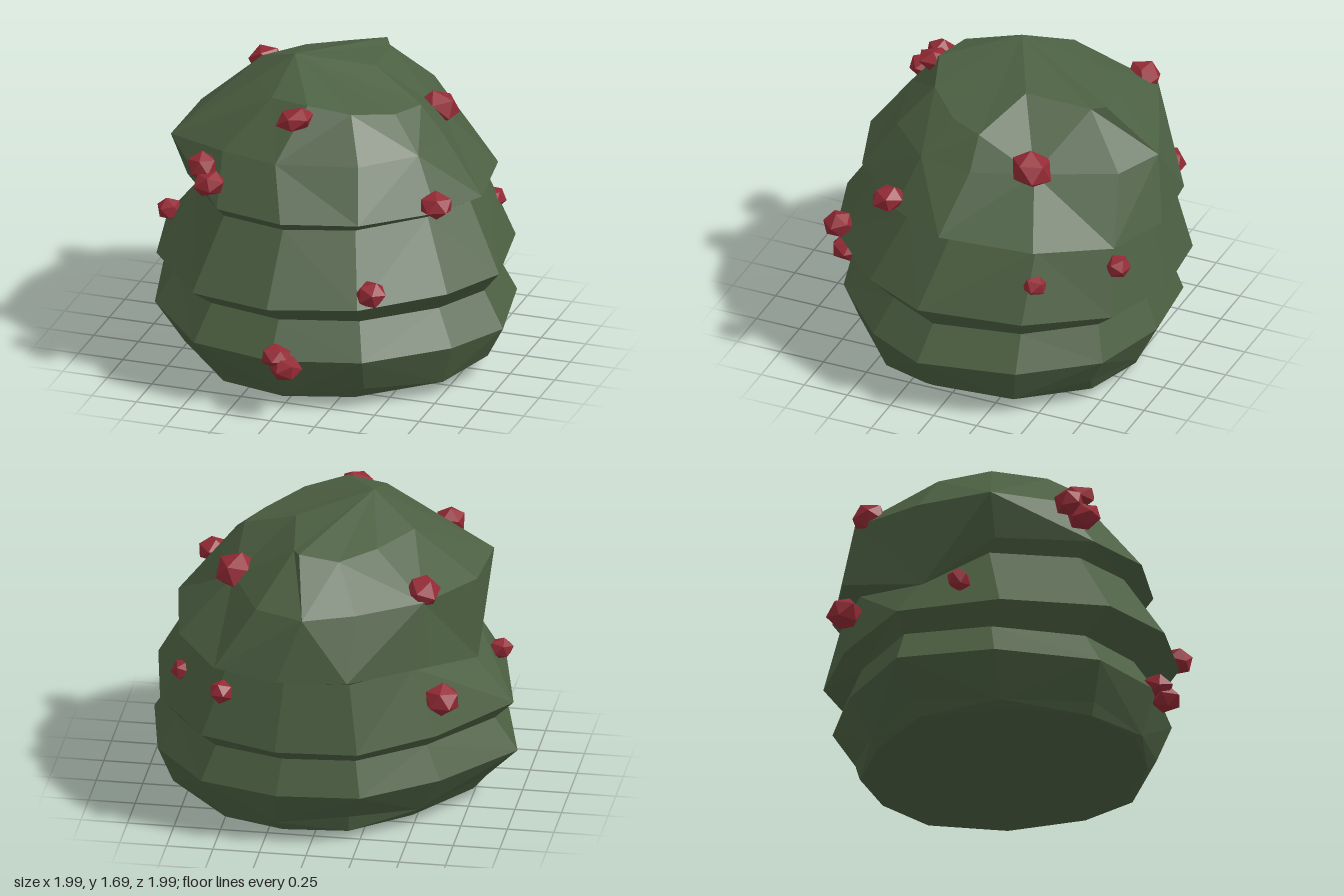
import * as THREE from 'three';

// Plan outline shared by all cross-sections: angle from the front (+z) towards +x, and radius
const ANGLES = [-2, 28, 61, 84, 117, 145, 170, 196, 226, 261, 294, 330];
const RADII = [0.96, 0.93, 0.94, 1, 1, 1.04, 1, 0.98, 0.91, 1.01, 0.95, 0.99];
const N = ANGLES.length;

// Cross-sections from base to crown: height, slope along x, slope along z, width, depth, offset x, offset z
const RINGS = [
  [0.05, 0, 0, 0.78, 0.81, 0.02, 0],
  [0.1, 0, -0.02, 0.87, 0.84, 0.04, 0],
  [0.3, 0, 0, 1, 0.94, 0, 0],
  [0.49, 0, 0, 0.88, 0.84, 0, -0.03],
  [0.6, 0.015, 0.02, 0.98, 1, 0, 0],
  [0.97, 0.01, 0.02, 0.78, 0.83, 0, -0.08],
  [1.02, 0, 0.045, 0.84, 0.91, 0.02, -0.06],
  [1.31, 0, 0, 0.7, 0.77, -0.08, -0.12],
  [1.52, -0.1, 0, 0.47, 0.52, 0.02, -0.09],
];

// Shifts of single corners (ring, rib, dx, dy, dz)
const SHIFTS = [
  // dent in the lip on the right side
  [5, 9, 0, -0.15, 0.08],
  [6, 8, -0.08, 0, -0.02],
  [6, 9, 0.04, -0.2, 0.1],
  [7, 8, -0.03, 0.03, 0],
  [7, 9, 0, -0.03, 0.11],
  [7, 10, -0.11, -0.05, 0.13],
  // straight slopes of the dome
  [7, 1, 0.1, 0, 0],
  [7, 2, 0.08, 0, 0.03],
  [7, 4, -0.05, 0, 0.11],
  [7, 5, -0.03, 0, 0.01],
  [7, 7, 0.04, 0, 0.08],
  // uneven crown
  [8, 0, 0, 0.06, 0],
  [8, 1, 0, 0.03, 0],
  [8, 4, -0.25, 0.12, 0.15],
  [8, 5, -0.16, 0.07, 0],
  [8, 6, 0, 0.06, 0],
  [8, 11, 0, 0.03, 0],
];
const BASE_CENTRE = [0.05, 0, 0];
const CROWN_TIP = [-0.2, 1.69, 0.02];

// Berries: x, y, z, half width, half height
const BERRIES = [
  [-0.05, 1.51, 0.45, 0.11, 0.065],
  [-0.51, 1.25, 0.63, 0.085, 0.08],
  [-0.45, 1.18, 0.69, 0.095, 0.07],
  [0.72, 1.1, 0.39, 0.095, 0.07],
  [0.49, 0.71, 0.78, 0.085, 0.075],
  [0, 0.33, 0.9, 0.09, 0.065],
  [0.06, 0.28, 0.92, 0.09, 0.07],
  [-0.86, 0.75, 0.15, 0.07, 0.06],
  [0.48, 1.33, -0.34, 0.12, 0.095],
  [0.74, 0.79, -0.47, 0.075, 0.06],
  [0.48, 0.85, -0.84, 0.07, 0.065],
  [-0.55, 1.37, -0.53, 0.1, 0.09],
  [-0.67, 0.79, -0.62, 0.1, 0.085],
];

// Faceted body lofted through the cross-sections
function bushGeometry() {
  const points = [];
  RINGS.forEach(([height, slopeX, slopeZ, width, depth, offsetX, offsetZ], ring) => {
    ANGLES.forEach((deg, i) => {
      const a = THREE.MathUtils.degToRad(deg);
      const x = Math.sin(a) * RADII[i] * width + offsetX;
      const z = Math.cos(a) * RADII[i] * depth + offsetZ;
      // the lower edge zigzags
      const zigzag = ring === 1 ? (i % 2 ? 0.03 : -0.015) : 0;
      points.push([x, height + slopeX * x + slopeZ * z + zigzag, z]);
    });
  });
  for (const [ring, rib, ...shift] of SHIFTS) {
    shift.forEach((d, axis) => { points[ring * N + rib][axis] += d; });
  }
  const base = points.push(BASE_CENTRE) - 1;
  const tip = points.push(CROWN_TIP) - 1;
  const last = (RINGS.length - 1) * N;

  const index = [];
  for (let i = 0; i < N; i++) {
    const j = (i + 1) % N;
    index.push(base, j, i, tip, last + i, last + j);
    for (let l = 0; l < last; l += N) {
      const u = l + N;
      // alternate the diagonal for an irregular, faceted look
      if ((i + l / N) % 2) index.push(l + i, l + j, u + j, l + i, u + j, u + i);
      else index.push(l + i, l + j, u + i, l + j, u + j, u + i);
    }
  }
  const indexed = new THREE.BufferGeometry();
  indexed.setAttribute('position', new THREE.Float32BufferAttribute(points.flat(), 3));
  indexed.setIndex(index);
  const geometry = indexed.toNonIndexed();
  geometry.computeVertexNormals();
  return geometry;
}

export function createModel() {
  const leafGreen = new THREE.MeshStandardMaterial({ color: 0x4c6042, flatShading: true });
  leafGreen.name = 'leaf green';
  const berryRed = new THREE.MeshStandardMaterial({ color: 0x942a35, flatShading: true });
  berryRed.name = 'berry red';

  const model = new THREE.Group();
  model.name = 'berryBush';

  const foliage = new THREE.Mesh(bushGeometry(), leafGreen);
  foliage.name = 'foliage';
  model.add(foliage);

  // Slightly flattened, faceted berries, each turned differently
  const berries = new THREE.Group();
  berries.name = 'berries';
  const berryGeometry = new THREE.IcosahedronGeometry(1, 0);
  BERRIES.forEach(([x, y, z, width, height], i) => {
    const berry = new THREE.Mesh(berryGeometry, berryRed);
    berry.name = 'berry';
    berry.position.set(x, y, z);
    berry.scale.set(width, height, width);
    berry.rotation.set(0.3 * Math.sin(i * 2.1), i * 1.7, 0.3 * Math.cos(i * 1.3));
    berries.add(berry);
  });
  model.add(berries);
  return model;
}
